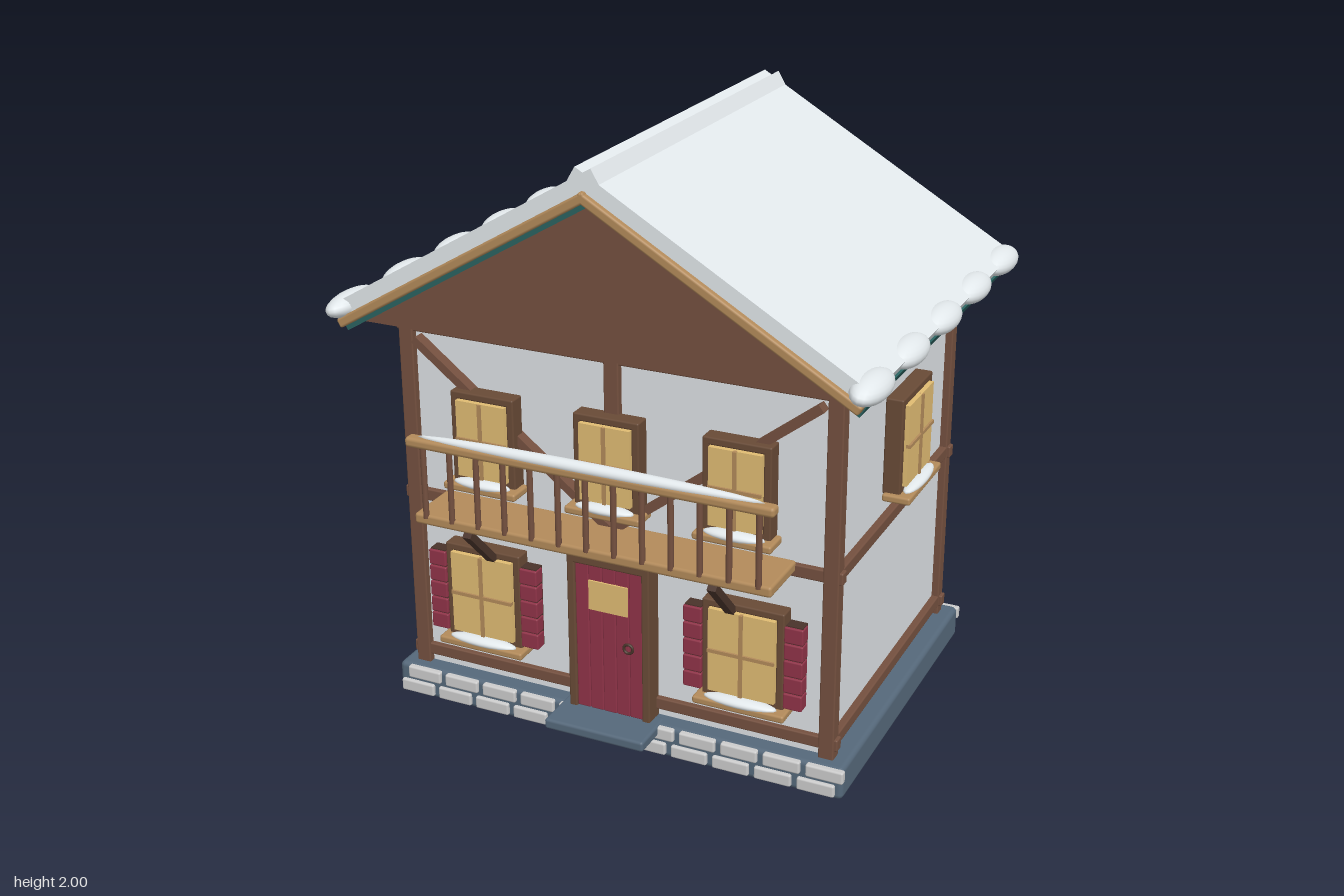
import * as THREE from 'three';
import { RoundedBoxGeometry } from 'three/addons/geometries/RoundedBoxGeometry.js';

const mat = (color) => new THREE.MeshStandardMaterial({ color });
const M = {
  wall: mat(0xdde1e4), stone: mat(0x55687a), brick: mat(0xd2d5d6), beam: mat(0x74503f),
  frame: mat(0x684a36), dark: mat(0x49332a), tan: mat(0xb28a5a), glass: mat(0xdfbb72),
  red: mat(0x8f3348), teal: mat(0x2a6260), snow: mat(0xe2e8eb),
};

function add(parent, name, geo, material, x = 0, y = 0, z = 0) {
  const m = new THREE.Mesh(geo, material);
  m.name = name;
  m.position.set(x, y, z);
  parent.add(m);
  return m;
}

// Box given by its limits; r > 0 rounds the edges
function box(parent, name, material, [x0, x1], [y0, y1], [z0, z1], r = 0) {
  const s = [x1 - x0, y1 - y0, z1 - z0];
  const geo = r ? new RoundedBoxGeometry(...s, 2, r) : new THREE.BoxGeometry(...s);
  return add(parent, name, geo, material, (x0 + x1) / 2, (y0 + y1) / 2, (z0 + z1) / 2);
}

function snowMound(parent, x, y, z, rx, ry, rz) {
  const m = add(parent, 'snowMound', new THREE.SphereGeometry(1, 20, 12), M.snow, x, y, z);
  m.scale.set(rx, ry, rz);
  return m;
}

function group(parent, name) {
  const g = new THREE.Group();
  g.name = name;
  parent.add(g);
  return g;
}

// Window facing +z, with z = 0 on the wall; origin at the middle of the frame
function windowUnit(parent, name, w, h, shutters) {
  const g = group(parent, name), a = w / 2, b = h / 2, t = 0.026;
  for (const s of [-1, 1]) {
    add(g, 'frameSide', new RoundedBoxGeometry(t, h, 0.06, 2, 0.006), M.frame, s * (a - t / 2), 0, 0.025);
    add(g, 'frameRail', new RoundedBoxGeometry(w, t, 0.06, 2, 0.006), M.frame, 0, s * (b - t / 2), 0.025);
  }
  box(g, 'pane', M.glass, [-a + t, a - t], [-b + t, b - t], [0, 0.068]);
  box(g, 'mullion', M.tan, [-0.006, 0.006], [-b + t, b - t], [0.06, 0.075]);
  box(g, 'crossbar', M.tan, [-a + t, a - t], [-0.006, 0.006], [0.06, 0.075]);
  box(g, 'sill', M.tan, [-a - 0.018, a + 0.018], [-b - 0.02, -b + 0.006], [0, 0.095], 0.008);
  snowMound(g, 0, -b + 0.008, 0.07, a * 0.9, 0.017, 0.03);
  if (shutters) for (const s of [-1, 1]) {
    const x = s * (a + 0.033);
    box(g, 'shutterBack', M.dark, [x - 0.028, x + 0.028], [-b + 0.015, b - 0.035], [0.01, 0.052]);
    for (let i = 0; i < 5; i++) {
      const y = -b + 0.043 + i * 0.059;
      box(g, 'shutterBoard', M.red, [x - 0.032, x + 0.032], [y - 0.0275, y + 0.0275], [0.015, 0.06], 0.005);
    }
  }
  return g;
}

function buildBase(root) {
  const g = group(root, 'base');
  box(g, 'foundation', M.stone, [-0.82, 0.82], [0, 0.115], [-0.6, 0.6], 0.018);
  // Two staggered brick rows on front and back
  for (const z of [-0.6, 0.6])
    for (let row = 0; row < 2; row++)
      for (let i = 0; i < 11; i++) {
        const x = (row ? -0.714 : -0.743) + i * 0.1475, y = 0.034 + row * 0.056;
        box(g, 'brick', M.brick, [x - 0.064, x + 0.064], [y - 0.022, y + 0.022], [z - 0.013, z + 0.013], 0.007);
      }
  box(g, 'doorstep', M.stone, [-0.18, 0.18], [0.08, 0.117], [0.55, 0.725], 0.01);
}

function buildWalls(root) {
  const g = group(root, 'walls');
  box(g, 'plaster', M.wall, [-0.745, 0.745], [0.1, 1.4], [-0.535, 0.535]);
  for (const s of [-1, 1]) {
    for (const x of [-0.745, 0, 0.745])
      box(g, 'post', M.beam, [x - 0.026, x + 0.026], [0.11, 1.385], [s * 0.535 - 0.024, s * 0.535 + 0.024], 0.005);
    for (const y of [0.165, 0.755, 1.355]) {
      box(g, 'beam', M.beam, [-0.782, 0.782], [y - 0.021, y + 0.021], [s * 0.535 - 0.018, s * 0.535 + 0.018], 0.005);
      box(g, 'sideBeam', M.beam, [s * 0.752 - 0.018, s * 0.752 + 0.018], [y - 0.021, y + 0.021], [-0.555, 0.555], 0.005);
    }
    // Diagonal brace on the upper front wall
    const dx = 0.7, dy = 0.54;
    const brace = add(g, 'brace', new THREE.BoxGeometry(Math.hypot(dx, dy), 0.028, 0.04), M.beam, s * 0.355, 1.045, 0.556);
    brace.rotation.z = s * Math.atan2(dy, dx);
  }
}

function buildOpenings(root) {
  const g = group(root, 'openings');
  for (const x of [-0.47, 0.47]) windowUnit(g, 'lowerWindow', 0.28, 0.345, true).position.set(x, 0.445, 0.54);
  for (const x of [-0.445, 0, 0.445]) windowUnit(g, 'upperWindow', 0.23, 0.315, false).position.set(x, 1.015, 0.545);
  for (const s of [-1, 1]) {
    const w = windowUnit(g, 'sideWindow', 0.29, 0.33, false);
    w.position.set(s * 0.763, 1.037, 0);
    w.rotation.y = s * Math.PI / 2;
  }
  // Front door
  const d = group(g, 'door');
  for (const s of [-1, 1])
    box(d, 'doorJamb', M.frame, [s * 0.134 - 0.014, s * 0.134 + 0.014], [0.11, 0.68], [0.53, 0.605], 0.006);
  box(d, 'doorLintel', M.frame, [-0.148, 0.148], [0.648, 0.68], [0.53, 0.605], 0.006);
  box(d, 'doorBack', M.dark, [-0.122, 0.122], [0.115, 0.65], [0.53, 0.585]);
  for (let i = 0; i < 5; i++) {
    const x = (i - 2) * 0.0484;
    box(d, 'doorBoard', M.red, [x - 0.0235, x + 0.0235], [0.117, 0.65], [0.55, 0.597], 0.004);
  }
  box(d, 'doorPane', M.glass, [-0.07, 0.07], [0.49, 0.595], [0.57, 0.603]);
  add(d, 'doorRing', new THREE.TorusGeometry(0.016, 0.005, 8, 20), M.dark, 0.072, 0.375, 0.603);
}

function buildBalcony(root) {
  const g = group(root, 'balcony');
  box(g, 'balconyFloor', M.tan, [-0.625, 0.625], [0.75, 0.787], [0.54, 0.747], 0.01);
  box(g, 'handrail', M.tan, [-0.637, 0.637], [1.024, 1.058], [0.72, 0.765], 0.012);
  snowMound(g, 0, 1.06, 0.742, 0.6, 0.02, 0.024);
  const n = 13;
  for (let i = 0; i < n; i++)
    add(g, 'baluster', new THREE.CylinderGeometry(0.01, 0.01, 0.26, 10), M.beam, -0.582 + i * 1.164 / (n - 1), 0.905, 0.742);
  // Sloping brackets under the floor
  for (const x of [-0.43, 0.43]) {
    const b = add(g, 'bracket', new THREE.BoxGeometry(0.03, 0.28, 0.026), M.dark, x, 0.645, 0.645);
    b.rotation.x = Math.PI / 4.1;
  }
}

function buildRoof(root) {
  const g = group(root, 'roof'), pitch = THREE.MathUtils.degToRad(30.5);
  // Gable prism with a flat soffit
  const tri = new THREE.Shape([[-0.82, 1.4], [0.82, 1.4], [0, 1.885]].map((p) => new THREE.Vector2(...p)));
  add(g, 'gable', new THREE.ExtrudeGeometry(tri, { depth: 1.38, bevelEnabled: false }), M.beam, 0, 0, -0.69);
  // One slope, with x running down from the ridge and y square to the roof; turned round for the other
  for (const turn of [0, Math.PI]) {
    const side = group(g, 'roofSide');
    side.rotation.y = turn;
    const slope = group(side, 'slope');
    slope.position.y = 1.985;
    slope.rotation.z = -pitch;
    box(slope, 'snowSheet', M.snow, [-0.03, 1.055], [-0.053, 0], [-0.715, 0.715]);
    box(slope, 'roofDeck', M.teal, [0.03, 1.062], [-0.096, -0.052], [-0.7, 0.7]);
    for (const s of [-1, 1])
      box(slope, 'bargeboard', M.tan, [0.022, 1.058], [-0.08, -0.048], [s * 0.713 - 0.022, s * 0.713 + 0.022], 0.008);
    // Heaps of snow along the eave
    for (let i = -2; i <= 2; i++) {
      const m = snowMound(side, 0.882, 1.441, i * 0.322, 0.055, 0.04, 0.128);
      m.rotation.z = -0.2;
    }
  }
}

export function createModel() {
  const root = new THREE.Group();
  root.name = 'snowyChalet';
  buildBase(root);
  buildWalls(root);
  buildOpenings(root);
  buildBalcony(root);
  buildRoof(root);
  return root;
}
